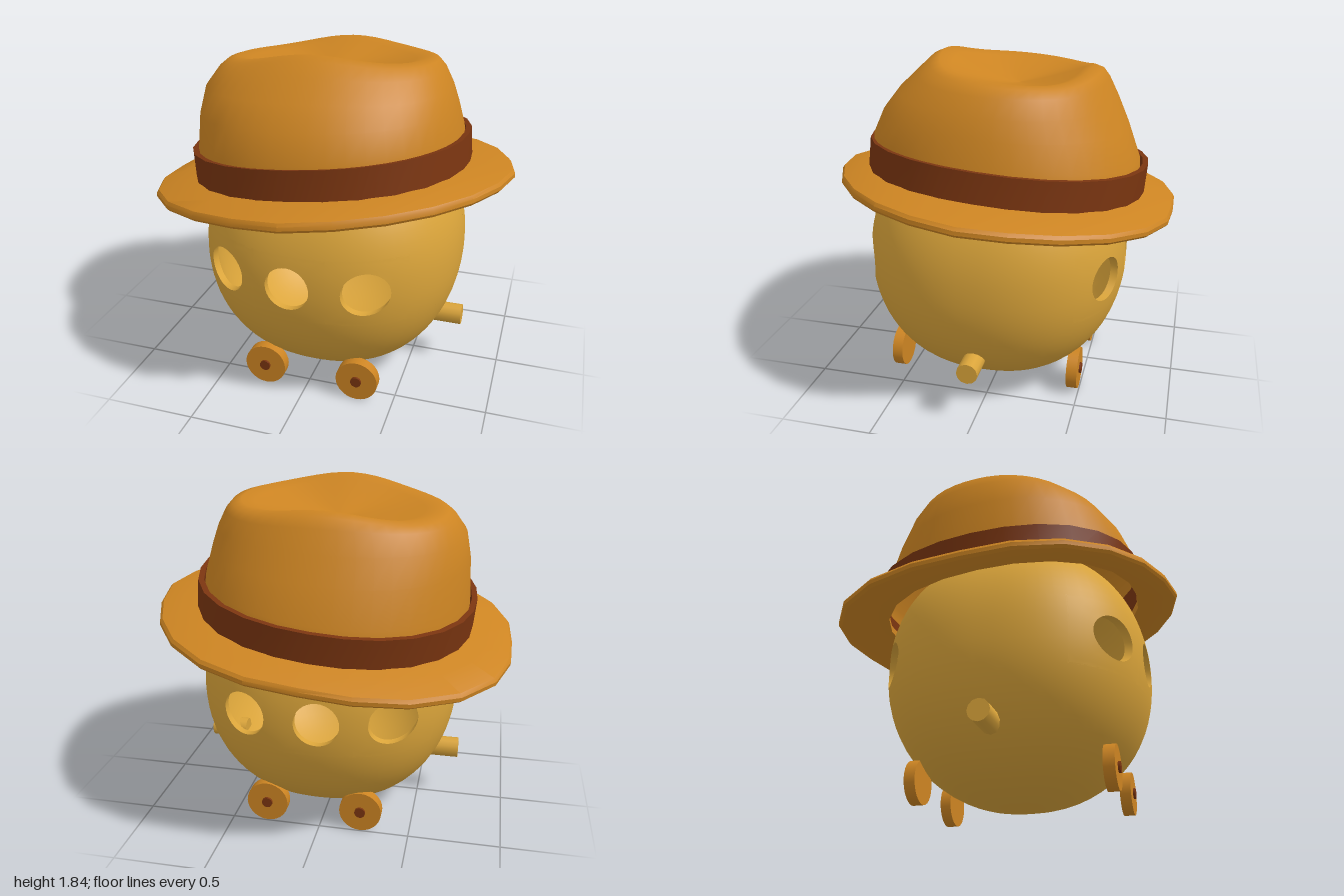
import * as THREE from 'three';
import { toCreasedNormals } from 'three/addons/utils/BufferGeometryUtils.js';

const paint = (color) => new THREE.MeshStandardMaterial({ color, side: THREE.DoubleSide });

// Skin over closed rings of points; rings run upward (or outward), points counter-clockwise
function loft(rings, crease) {
  const n = rings[0].length, index = [];
  for (let i = 0; i < rings.length - 1; i++) {
    for (let j = 0; j < n; j++) {
      const a = i * n + j, b = i * n + (j + 1) % n;
      index.push(a, a + n, b, b, a + n, b + n);
    }
  }
  const g = new THREE.BufferGeometry();
  g.setAttribute('position', new THREE.Float32BufferAttribute(rings.flat(2), 3));
  g.setIndex(index);
  g.computeVertexNormals();
  return crease ? toCreasedNormals(g, crease) : g;
}

const ring = (n, fn) => Array.from({ length: n }, (_, j) => fn((j / n) * Math.PI * 2));

// Unit rounded-square outline at angle a (p = 2 is a circle)
function outline(a, p) {
  const c = Math.cos(a), s = Math.sin(a);
  const k = (Math.abs(c) ** p + Math.abs(s) ** p) ** (-1 / p);
  return [c * k, s * k];
}

function add(parent, name, geometry, material, x = 0, y = 0, z = 0) {
  const m = new THREE.Mesh(geometry, material);
  m.name = name;
  m.position.set(x, y, z);
  parent.add(m);
  return m;
}

// Slightly squarish ball: exponents across (H) and up (V)
const H = 2.3, V = 2.15;
const ballSize = (x, y, z) =>
  ((Math.abs(x) ** H + Math.abs(z) ** H) ** (V / H) + Math.abs(y) ** V) ** (1 / V);

// Piece of the squarish ball, cut like a SphereGeometry
function ballPiece(r, ...cut) {
  const g = new THREE.SphereGeometry(1, ...cut), p = g.attributes.position, v = new THREE.Vector3();
  for (let i = 0; i < p.count; i++) {
    v.fromBufferAttribute(p, i);
    v.multiplyScalar(r / ballSize(v.x, v.y, v.z));
    p.setXYZ(i, v.x, v.y, v.z);
    const across = (Math.abs(v.x) ** H + Math.abs(v.z) ** H + 1e-9) ** (V / H - 1);
    v.set(Math.sign(v.x) * Math.abs(v.x) ** (H - 1) * across, Math.sign(v.y) * Math.abs(v.y) ** (V - 1),
      Math.sign(v.z) * Math.abs(v.z) ** (H - 1) * across).normalize();
    g.attributes.normal.setXYZ(i, v.x, v.y, v.z);
  }
  return g;
}

// Hollow ball with three round windows at the front and three at the back
function makeBody(material) {
  const body = new THREE.Group();
  body.name = 'body';
  body.position.set(0.027, 0.735, 0.032);
  const R = 0.728, RI = 0.69, BAND = 0.25, HOLE = 0.12;
  const holes = [-0.437, -0.057, 0.343], edges = [-1.0, -0.34, 0.2, 0.8];

  // Part of the shell between window edge (t = 0) and its rectangular cell (t = 1)
  const windowRing = (hx, lo, hi, r, t) => ring(32, (a) => {
    const c = Math.cos(a), s = Math.sin(a), m = Math.max(Math.abs(c), Math.abs(s));
    const x = hx + HOLE * c, y = HOLE * s;
    const z = ((r ** V - Math.abs(y) ** V) ** (H / V) - Math.abs(x) ** H) ** (1 / H);
    const lat = THREE.MathUtils.lerp(Math.atan2(y, Math.hypot(x, z)), (BAND * s) / m, t);
    const lon = THREE.MathUtils.lerp(Math.atan2(x, z), (lo + hi) / 2 + ((hi - lo) / 2) * c / m, t);
    const d = [Math.cos(lat) * Math.sin(lon), Math.sin(lat), Math.cos(lat) * Math.cos(lon)];
    const k = r / ballSize(...d);
    return d.map((e) => e * k);
  });
  for (const side of [1, -1]) {
    holes.forEach((hx, i) => {
      const [lo, hi] = [edges[i] * side, edges[i + 1] * side].sort((p, q) => p - q);
      const rings = [];
      for (let k = 4; k >= 0; k--) rings.push(windowRing(hx * side, lo, hi, RI, k / 4));
      for (let k = 0; k <= 4; k++) rings.push(windowRing(hx * side, lo, hi, R, k / 4));
      const m = add(body, side > 0 ? 'frontWindow' : 'backWindow', loft(rings, 0.6), material);
      if (side < 0) m.rotation.y = Math.PI;
    });
  }
  // Caps above and below the windows, and plain panels at the sides, overlapping a little
  const q = Math.PI / 2, cap = q - BAND + 0.008;
  for (const r of [R, RI]) {
    add(body, 'topCap', ballPiece(r, 64, 16, 0, 4 * q, 0, cap), material);
    add(body, 'bottomCap', ballPiece(r, 64, 16, 0, 4 * q, 2 * q - cap, cap), material);
    add(body, 'leftPanel', ballPiece(r, 20, 6, q + 0.79, 2 * q - 1.58, cap, 2 * (q - cap)), material);
    add(body, 'rightPanel', ballPiece(r, 16, 6, 3 * q + 0.99, 2 * q - 1.98, cap, 2 * (q - cap)), material);
  }
  return body;
}

function makeHat(felt, ribbon) {
  const hat = new THREE.Group();
  hat.name = 'hat';
  const SX = 0.1025, SZ = 0.08;
  // Leans a point of the hat towards its right and back
  const lean = (x, h, z) => [x - SX * (h - 1.17), h + SX * x + SZ * z, z - SZ * (h - 1.17)];

  // Brim: drooping, slightly uneven plate with an open middle; [0 inner..1 outer, height]
  const brim = [[0, 1.135], [0.5, 1.11], [0.95, 1.07], [1, 1.083], [1, 1.103], [0.95, 1.12],
    [0.5, 1.155], [0, 1.175], [0, 1.135]];
  add(hat, 'brim', loft(brim.map(([t, h]) => ring(24, (a) => {
    const [c, s] = outline(a, 2.2);
    const uneven = -Math.abs(Math.sin(2 * a)) * (0.01 + 0.055 * Math.cos(a - Math.PI / 4));
    return lean((0.72 + t * (0.275 + uneven)) * c, h, (0.72 + t * (0.22 + uneven)) * s);
  })), 0.6), felt);

  // Ribbon band
  const band = [[0.735, 1.165], [0.765, 1.165], [0.765, 1.322], [0.735, 1.322], [0.735, 1.165]];
  add(hat, 'hatBand', loft(band.map(([r, h]) => ring(28, (a) => {
    const [c, s] = outline(a, 2.2);
    return lean(r * c - 0.005, h, r * s - 0.005);
  })), 0.6), ribbon);

  // Crown wall levels: height, x range, z range, slope in x and z, squareness, ridge lift
  const levels = [
    [1.26, -0.745, 0.72, -0.74, 0.735, 0.10, 0.08, 2.15, 0],
    [1.34, -0.745, 0.71, -0.735, 0.735, 0.10, 0.08, 2.15, 0],
    [1.50, -0.735, 0.675, -0.665, 0.675, 0.06, 0.06, 2.15, 0],
    [1.62, -0.71, 0.64, -0.60, 0.585, 0.03, 0.05, 2.15, 0.01],
    [1.71, -0.65, 0.59, -0.545, 0.475, 0.03, 0.05, 2.2, 0.03],
    [1.75, -0.61, 0.55, -0.51, 0.405, 0.04, 0.07, 2.2, 0.05],
    [1.765, -0.56, 0.50, -0.46, 0.35, 0.04, 0.08, 2.2, 0.057],
  ];
  const rings = levels.map(([h, x0, x1, z0, z1, sx, sz, p, lift]) => ring(48, (a) => {
    const [c, s] = outline(a, p);
    const x = (x0 + x1) / 2 + ((x1 - x0) / 2) * c;
    const z = (z0 + z1) / 2 + ((z1 - z0) / 2) * s;
    return [x, h + sx * x + sz * z + lift * Math.sin(a) ** 6, z];
  }));
  // Dented top sinking towards the middle
  const rim = rings[rings.length - 1];
  for (const s of [0.86, 0.7, 0.5, 0.3, 0.12, 0.001]) {
    const f = s ** 1.4;
    rings.push(rim.map(([x, y, z]) => [-0.03 + (x + 0.03) * s, 1.675 + (y - 1.675) * f, -0.06 + (z + 0.06) * s]));
  }
  add(hat, 'crown', loft(rings), felt);
  return hat;
}

export function createModel() {
  const model = new THREE.Group();
  model.name = 'ballWithHat';
  const gold = paint(0xdaa43a), felt = paint(0xcc8422), brown = paint(0x7a3510);

  model.add(makeBody(gold), makeHat(felt, brown));

  // Side pegs
  for (const [name, x] of [['leftPeg', 0.675], ['rightPeg', -0.625]]) {
    add(model, name, new THREE.CylinderGeometry(0.058, 0.058, 0.21, 12), gold, x, 0.3, 0.03).rotation.z = Math.PI / 2;
  }

  // Wheels with small hubs on their outer faces
  for (const x of [-0.23, 0.30]) {
    for (const [name, z, out] of [['frontWheel', 0.565, 1], ['backWheel', -0.465, -1]]) {
      const wheel = new THREE.Group();
      wheel.name = name;
      wheel.position.set(x, 0.122, z);
      wheel.rotation.x = (out * Math.PI) / 2;
      add(wheel, 'tyre', new THREE.CylinderGeometry(0.117, 0.117, 0.06, 28), felt);
      add(wheel, 'hub', new THREE.CylinderGeometry(0.03, 0.03, 0.03, 14), brown, 0, 0.027, 0);
      model.add(wheel);
    }
  }
  return model;
}
